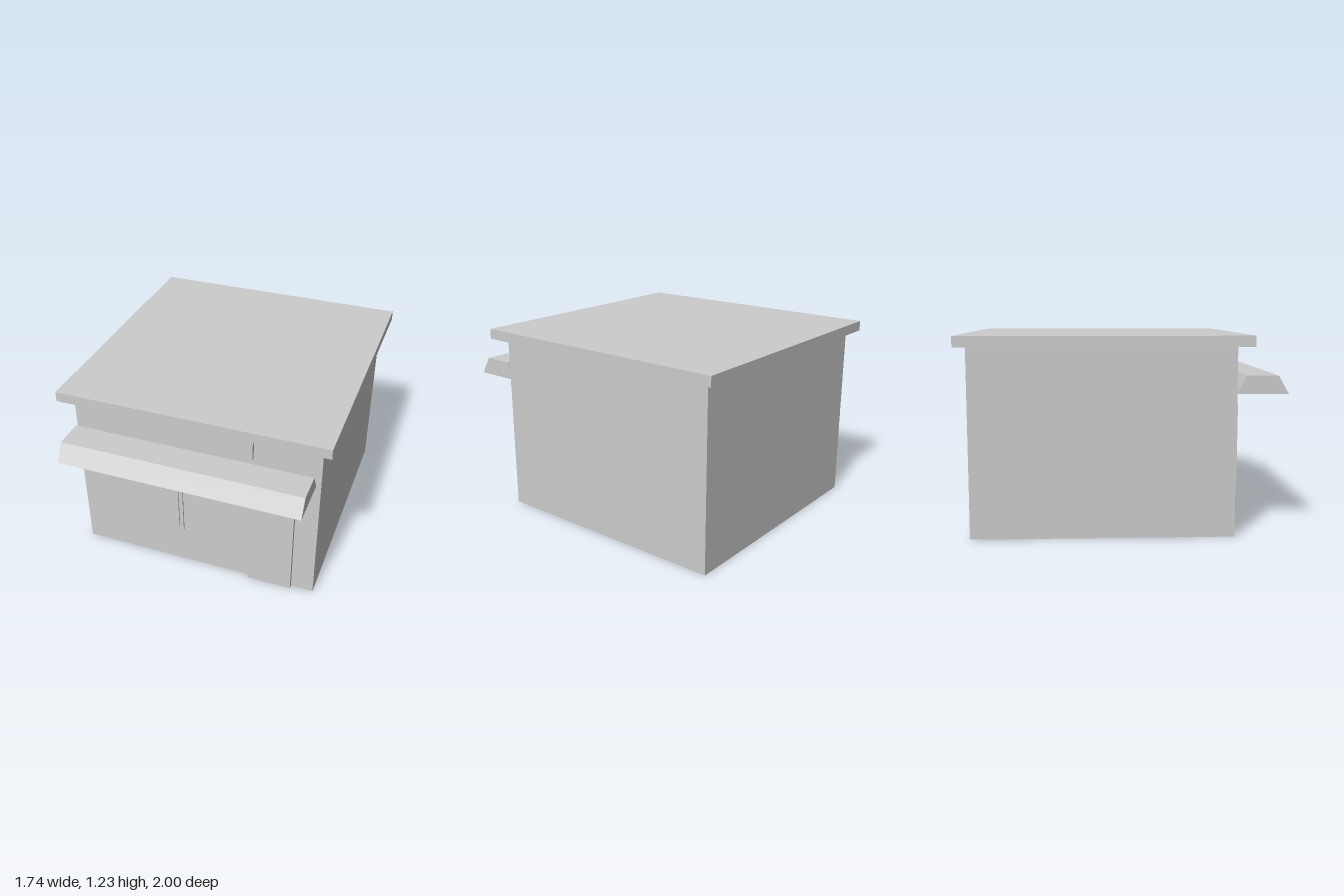
import * as THREE from 'three';

export function createModel() {
  const shop = new THREE.Group();
  shop.name = 'shop';
  const grey = new THREE.MeshStandardMaterial({ color: 0xcccccc });
  grey.name = 'plain grey';

  // Box given by its limits on each axis
  function block(name, [x0, x1], [y0, y1], [z0, z1]) {
    const mesh = new THREE.Mesh(new THREE.BoxGeometry(x1 - x0, y1 - y0, z1 - z0), grey);
    mesh.position.set((x0 + x1) / 2, (y0 + y1) / 2, (z0 + z1) / 2);
    mesh.name = name;
    shop.add(mesh);
  }

  const wall = 0.68; // front wall plane
  block('walls', [-0.803, 0.803], [0, 1.165], [-0.933, wall]);
  block('roofSlab', [-0.87, 0.87], [1.165, 1.23], [-1, 0.773]);
  block('signBoard', [-0.385, 0.385], [0.988, 1.132], [0.69, 0.711]);
  block('windowFrame', [-0.755, -0.09], [0.27, 0.833], [wall, 0.69]);
  block('windowPane', [-0.725, -0.116], [0.294, 0.811], [wall, 0.7]);
  block('door', [0.367, 0.657], [0, 0.68], [wall, 0.706]);

  // Awning: trapezoid side profile (z, y) extruded along x
  const halfWidth = 0.772;
  const profile = new THREE.Shape([
    [1, 0.876], [0.935, 0.988], [0.745, 0.988], [wall, 0.876],
  ].map(([z, y]) => new THREE.Vector2(-z, y)));
  const awningGeometry = new THREE.ExtrudeGeometry(profile, { depth: halfWidth * 2, bevelEnabled: false });
  awningGeometry.translate(0, 0, -halfWidth).rotateY(Math.PI / 2);
  const awning = new THREE.Mesh(awningGeometry, grey);
  awning.name = 'awning';
  shop.add(awning);

  return shop;
}
